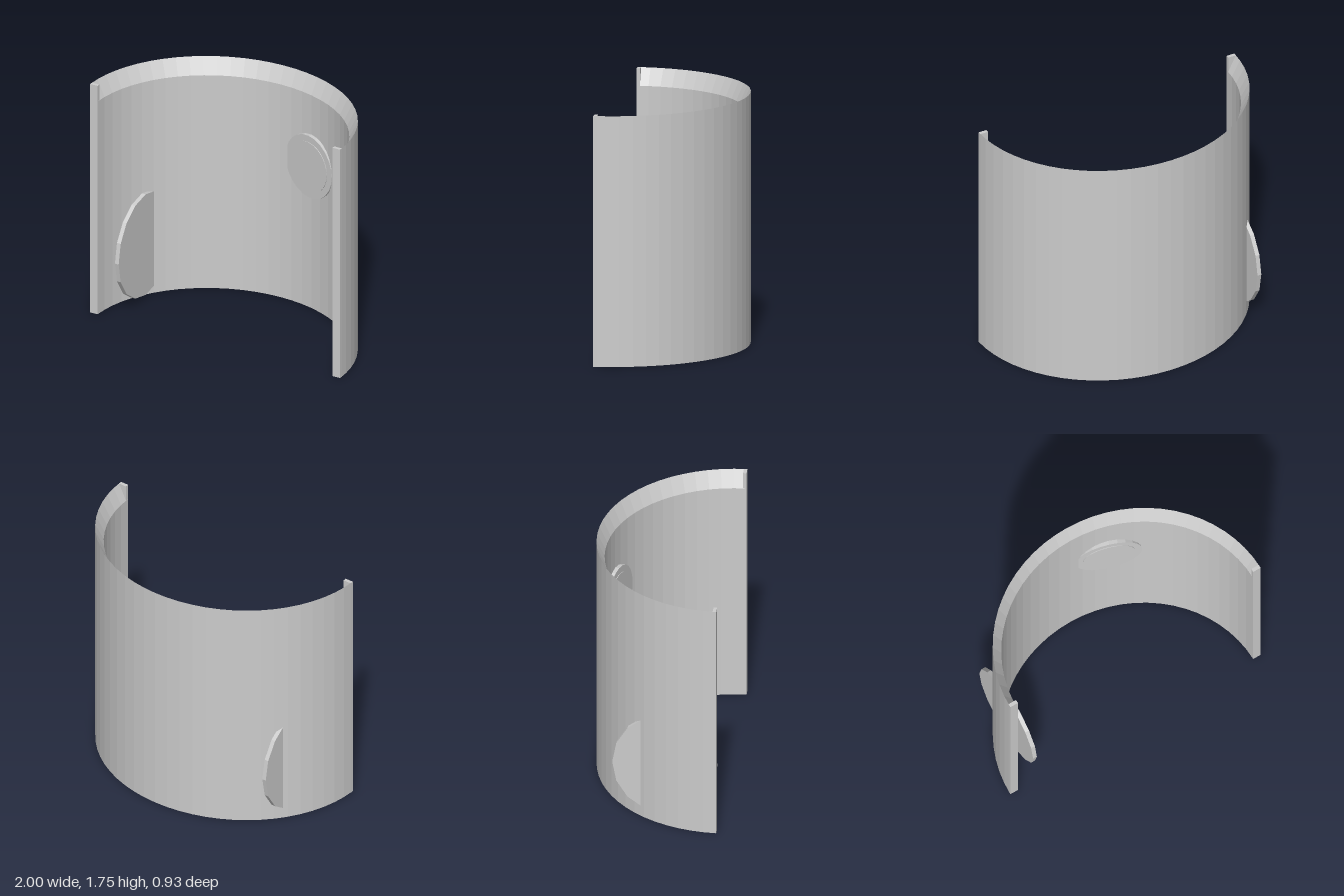
import * as THREE from 'three';

export function createModel() {
  const model = new THREE.Group();
  const grey = new THREE.MeshStandardMaterial({ color: 0xcccccc, flatShading: true });
  grey.name = 'light grey';

  const add = (name, geometry, parent = model) => {
    const mesh = new THREE.Mesh(geometry, grey);
    mesh.name = name;
    parent.add(mesh);
    return mesh;
  };

  const height = 1.75, inner = 0.94, depth = 0.93;

  // Half-round wall with a bevelled top rim, slightly flattened front to back
  const profile = [[1, 0], [1, height], [inner, 1.63], [inner, 0], [1, 0]]
    .map(([r, y]) => new THREE.Vector2(r, y));
  const wall = new THREE.LatheGeometry(profile, 32, Math.PI / 2, Math.PI);
  wall.scale(1, 1, depth);
  wall.translate(0, 0, depth / 2);
  add('curvedWall', wall);

  // Full-height strips closing the two wall ends
  for (const side of [-1, 1]) {
    const post = add(side > 0 ? 'leftEndPost' : 'rightEndPost',
      new THREE.BoxGeometry(1 - inner, height, 0.025));
    post.position.set(side * (1 + inner) / 2, height / 2, depth / 2 - 0.0125);
  }

  // Upright disc passing through the wall
  const disc = new THREE.CylinderGeometry(0.385, 0.385, 0.03, 16);
  disc.rotateZ(Math.PI / 2);
  disc.scale(1, 1, 0.942);
  add('wallDisc', disc).position.set(-0.795, 0.415, 0.088);

  // Round plaque on the inside of the wall, turned toward the centre
  const plaque = new THREE.Group();
  plaque.name = 'roundPlaque';
  plaque.position.set(0.268, 1.095, -0.343);
  plaque.rotation.y = -0.295;
  model.add(plaque);
  const plate = (name, radius, thickness, z) => {
    const geometry = new THREE.CylinderGeometry(radius, radius, thickness, 24);
    geometry.rotateX(Math.PI / 2);
    add(name, geometry, plaque).position.z = z;
  };
  plate('plaqueBase', 0.235, 0.035, -0.0175);
  plate('plaqueFace', 0.187, 0.008, 0);

  return model;
}
